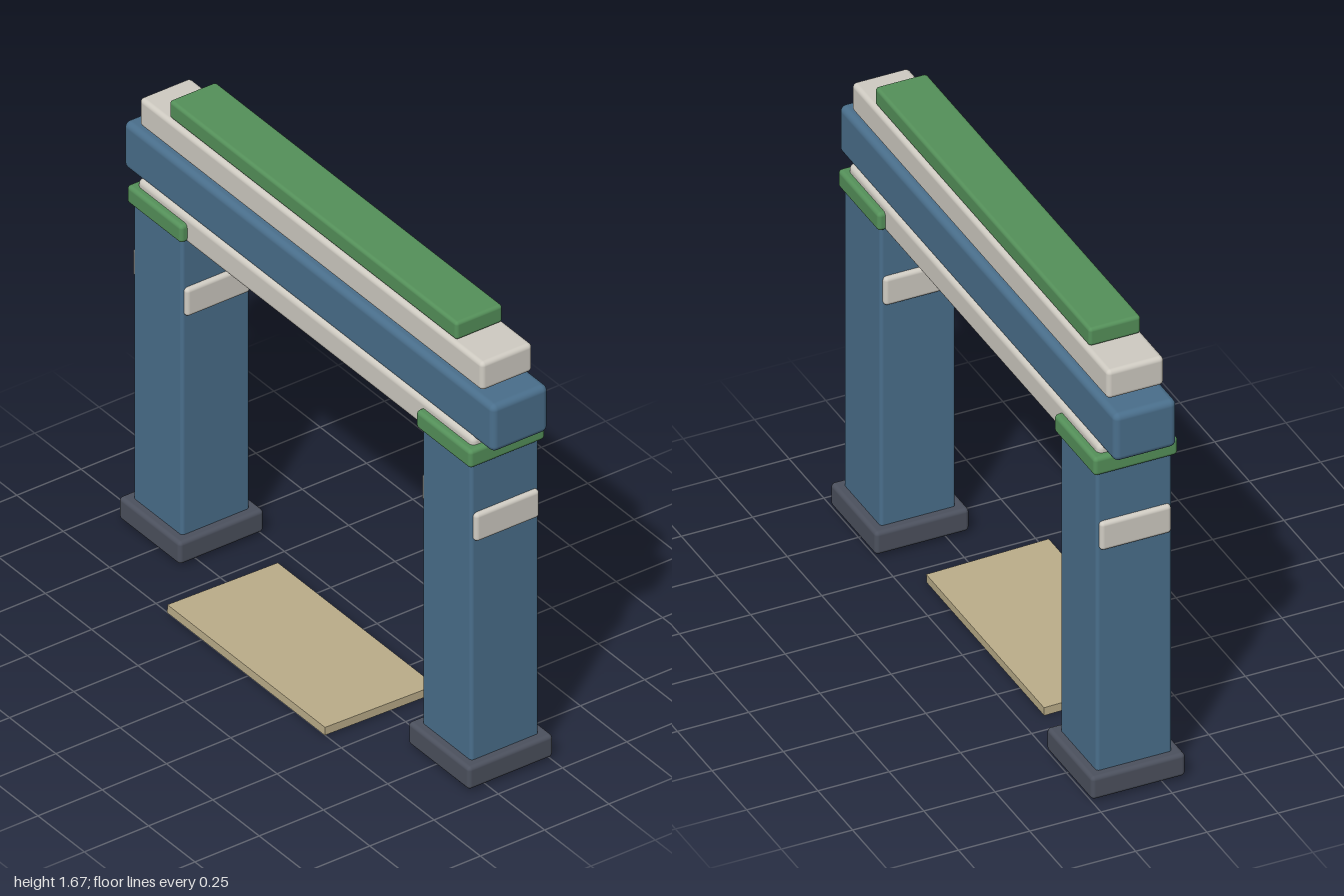
import * as THREE from 'three';
import { RoundedBoxGeometry } from 'three/addons/geometries/RoundedBoxGeometry.js';

const paint = (color) => new THREE.MeshStandardMaterial({ color });

export function createModel() {
  const blue = paint(0x4a6f8c);
  const green = paint(0x55915a);
  const stone = paint(0xd0ccc3);
  const slate = paint(0x4c515e);
  const sand = paint(0xbcae8a);

  const model = new THREE.Group();
  model.name = 'gateway';

  // Rounded block of size w, h, d standing on height y
  const block = (parent, name, material, w, h, d, x, y, radius) => {
    const mesh = new THREE.Mesh(new RoundedBoxGeometry(w, h, d, 3, radius), material);
    mesh.name = name;
    mesh.position.set(x, y + h / 2, 0);
    parent.add(mesh);
    return mesh;
  };

  // The arch sits slightly behind the centre
  const arch = new THREE.Group();
  arch.name = 'arch';
  arch.position.z = -0.09;
  model.add(arch);

  // Two posts with footing, cap and side bands
  for (const [side, sx] of [['left', 1], ['right', -1]]) {
    const post = new THREE.Group();
    post.name = `${side}Post`;
    post.position.x = sx * 0.78;
    block(post, 'footing', slate, 0.33, 0.085, 0.33, 0, 0.01, 0.014);
    block(post, 'shaft', blue, 0.265, 1.14, 0.265, 0, 0.085, 0.012);
    block(post, 'cap', green, 0.295, 0.068, 0.295, 0, 1.218, 0.014);
    for (const s of [1, -1]) {
      block(post, 'sideBand', stone, 0.028, 0.106, 0.25, s * 0.135, 0.93, 0.0138);
    }
    arch.add(post);
  }

  // Stacked beams, from the bottom up
  block(arch, 'lowerBeam', stone, 1.81, 0.105, 0.245, 0, 1.21, 0.02);
  block(arch, 'mainBeam', blue, 1.995, 0.178, 0.22, 0, 1.3, 0.022);
  block(arch, 'upperBeam', stone, 1.85, 0.107, 0.2, 0, 1.494, 0.016);
  block(arch, 'ridge', green, 1.55, 0.067, 0.182, 0, 1.603, 0.012);

  // Ground slab, tilted a little towards the back
  const slab = new THREE.Mesh(new THREE.BoxGeometry(0.85, 0.03, 0.43), sand);
  slab.name = 'groundSlab';
  slab.position.set(0, 0.02, 0.045);
  slab.rotation.x = -0.024;
  model.add(slab);

  return model;
}
